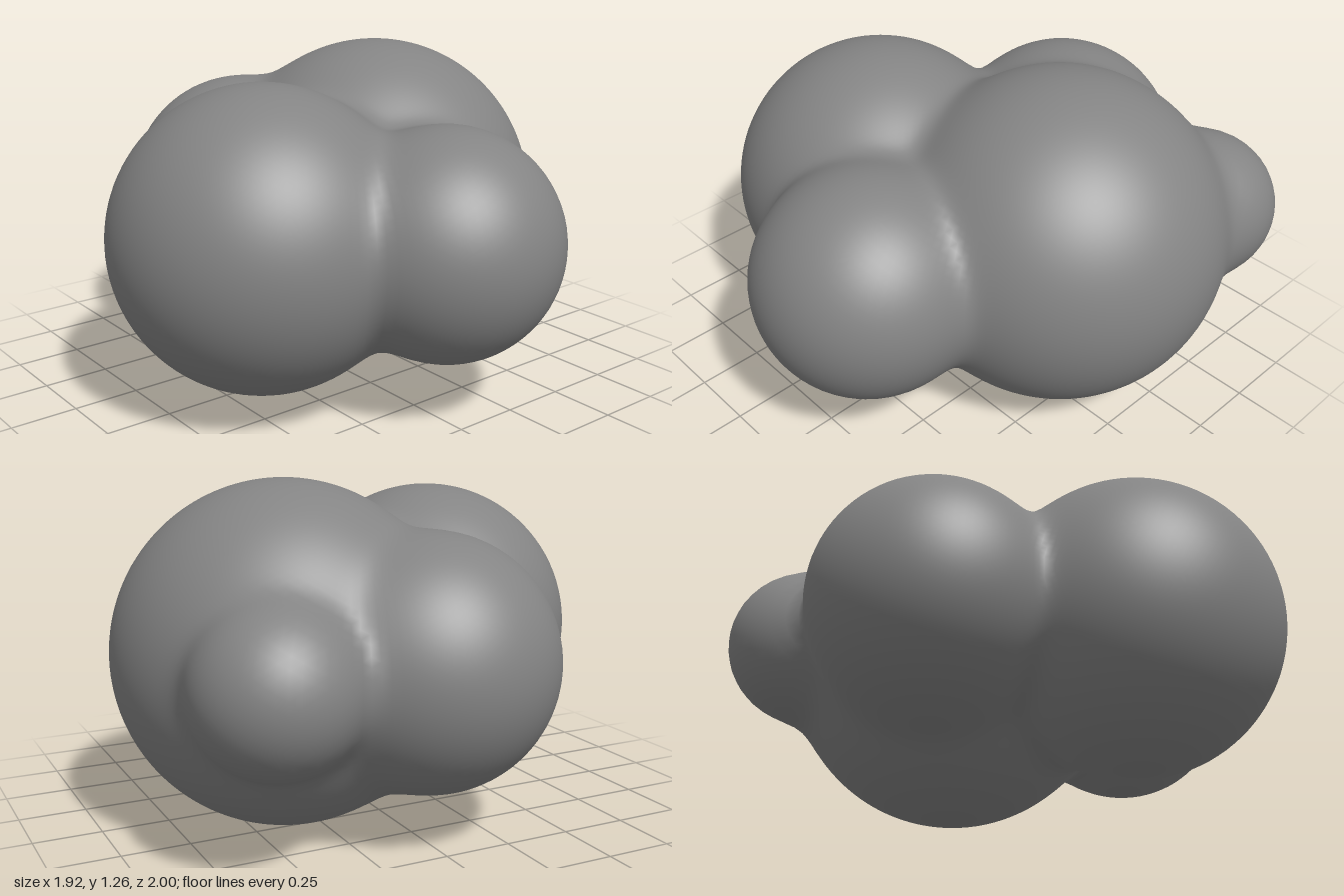
import * as THREE from 'three';

// Lobes of the body: radius and centre
const LOBES = [
  { radius: 0.63, centre: new THREE.Vector3(0.33, 0.63, -0.13) }, // main
  { radius: 0.56, centre: new THREE.Vector3(-0.405, 0.635, 0.12) }, // right
  { radius: 0.425, centre: new THREE.Vector3(0.065, 0.635, 0.575) }, // front
  { radius: 0.46, centre: new THREE.Vector3(-0.04, 0.635, -0.54) }, // back
  { radius: 0.29, centre: new THREE.Vector3(0.585, 0.63, -0.66) }, // small, back left
];
const CORE = new THREE.Vector3(0.05, 0.63, -0.05); // sees the whole surface
const BLEND = 0.035; // softness of the valleys between lobes

// Softly blended distance from a point to the lobes
function distance(p) {
  let sum = 0;
  for (const { radius, centre } of LOBES) sum += Math.exp((radius - p.distanceTo(centre)) / BLEND);
  return -BLEND * Math.log(sum);
}

// Outward direction of the blended surface
function surfaceNormal(p) {
  const normal = new THREE.Vector3();
  for (const { radius, centre } of LOBES) {
    const out = p.clone().sub(centre);
    const d = out.length();
    normal.addScaledVector(out, Math.exp((radius - d) / BLEND) / d);
  }
  return normal.normalize();
}

export function createModel() {
  const group = new THREE.Group();
  group.name = 'lobedCluster';

  // Shrink-wrap a sphere onto the blended lobes, walking inwards along each ray
  const geometry = new THREE.IcosahedronGeometry(1, 30);
  const { position, normal } = geometry.attributes;
  const ray = new THREE.Vector3();
  const p = new THREE.Vector3();
  for (let i = 0; i < position.count; i++) {
    ray.fromBufferAttribute(position, i).normalize();
    let reach = 1.5;
    for (let step = 0; step < 80; step++) {
      const gap = distance(p.copy(CORE).addScaledVector(ray, reach));
      if (gap < 0.0003) break;
      reach -= gap;
    }
    const n = surfaceNormal(p);
    position.setXYZ(i, p.x, p.y, p.z);
    normal.setXYZ(i, n.x, n.y, n.z);
  }

  const body = new THREE.Mesh(geometry, new THREE.MeshStandardMaterial({ color: 0x848484 }));
  body.name = 'lobedBody';
  group.add(body);
  return group;
}
